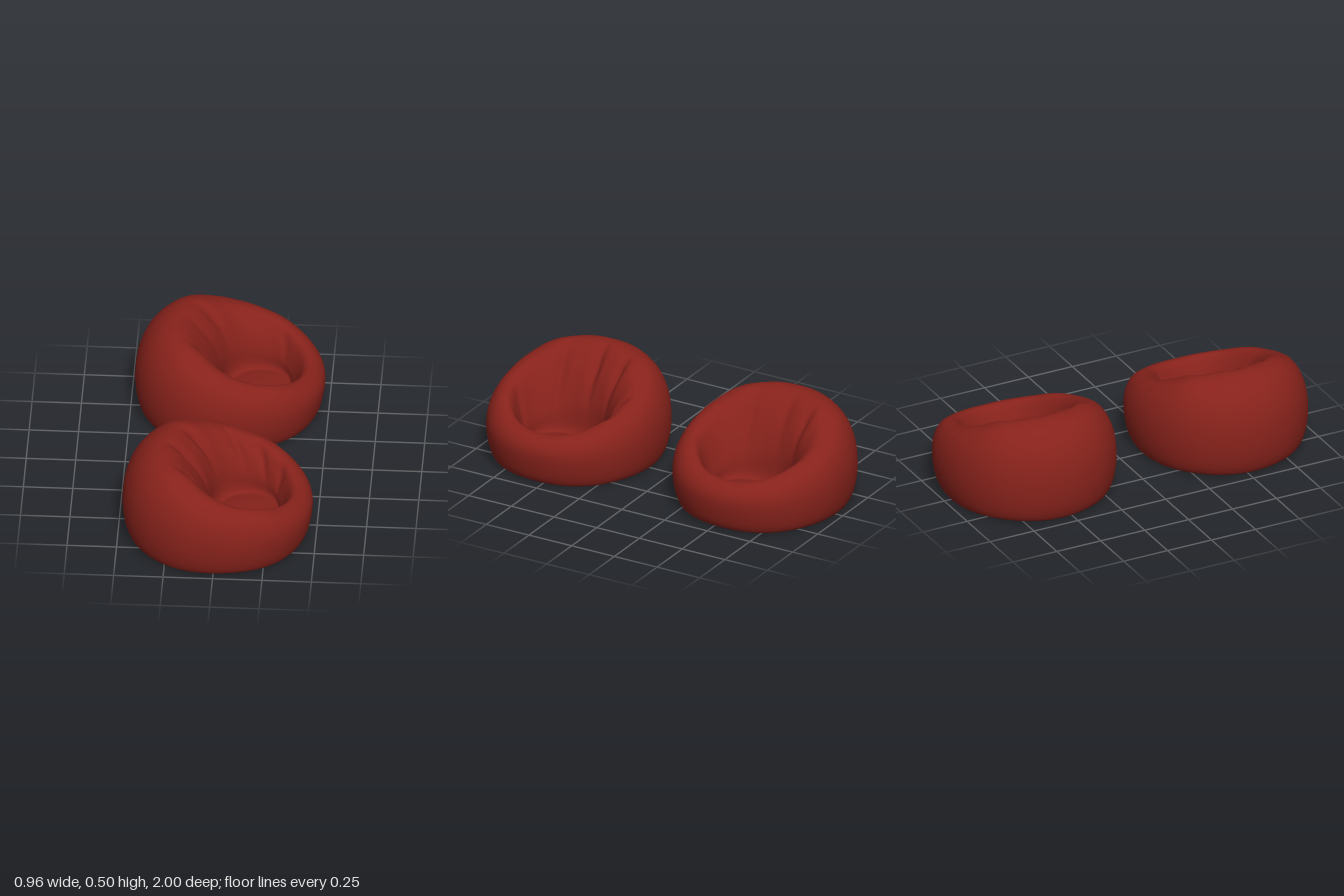
import * as THREE from 'three';

const AROUND = 144, STEPS = 80;
const { lerp } = THREE.MathUtils;
const bell = (d, w) => Math.exp(-(d * d) / (w * w));
const wrap = a => Math.atan2(Math.sin(a), Math.cos(a));
const square = v => Math.sign(v) * Math.abs(v) ** 0.85;

// Inner wall from rim to seat: share of the way across, drop where it is plump, drop where it is hollow
const INNER = [[0.25, 0.045, 0.1], [0.5, 0.17, 0.38], [0.72, 0.35, 0.7], [0.9, 0.64, 0.93], [1, 1, 1]];

// One cross-section, from the middle of the base, over the rim, to the middle of the seat.
function section(a, folds) {
  const c = Math.cos(a), s = Math.sin(a);
  const at = (r, y) => new THREE.Vector3(r * c, y, r * s);
  const R = (Math.abs(c / 0.48) ** 2.1 + Math.abs(s / 0.455) ** 2.1) ** (-1 / 2.1);
  const rimR = 0.335 + 0.06 * c;
  const rimY = 0.387 - 0.125 * c - 0.012 * c * c + 0.036 * Math.abs(c) * s * s
    + 0.003 * Math.sin(9 * a) * s;
  const waistY = 0.175 - 0.015 * c;
  const hem = 0.003 + 0.002 * Math.sin(5 * a + 1);

  // nearly flat base with a slightly uneven, rounded bottom edge
  const pts = [at(0, 0.014), at(R * 0.4, 0.014), at(R * 0.78, 0.011), at(R * 0.86, hem),
    at(R * 0.91, hem), at(R * 0.95, 0.03), at(R * 0.985, 0.09)];
  // outer wall curving over to the rim
  for (let i = 0; i <= 4; i++) {
    const u = i / 4 * Math.PI / 2;
    pts.push(at(rimR + (R - rimR) * Math.cos(u), waistY + (rimY - waistY) * Math.sin(u)));
  }
  // inner wall: plump at the back with a crease below it, running smoothly into the seat at the front
  const rim = at(rimR, rimY);
  const crease = new THREE.Vector3(0.14 + 0.165 * square(c), 0.088 + 0.012 * c, 0.195 * square(s));
  const hollow = 0.4 + 0.4 * Math.cos(a - 0.7);
  for (const [across, plumpDrop, hollowDrop] of INNER) {
    const p = rim.clone().lerp(crease, across);
    p.y = lerp(rim.y, crease.y, lerp(plumpDrop, hollowDrop, hollow));
    let depth = 0;
    for (const [angle, width, amount] of folds) depth += amount * bell(wrap(a - angle), width);
    depth *= Math.sin(Math.PI * across * 0.95) ** 2;
    p.add(at(depth * 0.4, -depth));
    pts.push(p);
  }
  // soft, shallow seat
  const seat = new THREE.Vector3(0.16, 0.1, 0);
  for (const [t, lift] of [[0.3, 0.3], [0.65, 0.8], [1, 1]]) {
    const p = crease.clone().lerp(seat, t);
    p.y = lerp(crease.y, seat.y, lift);
    pts.push(p);
  }
  return new THREE.CatmullRomCurve3(pts, false, 'centripetal').getPoints(STEPS);
}

function beanBagGeometry(folds) {
  const pos = [], index = [], n = STEPS + 1;
  for (let j = 0; j < AROUND; j++) {
    for (const p of section(j / AROUND * Math.PI * 2, folds)) {
      // two sewn seams across the underside
      if (p.y < 0.016 && Math.hypot(p.x, p.z) < 0.37) {
        p.y -= 0.008 * (bell(p.z - 0.1, 0.03) + bell(p.z + 0.1, 0.03));
      }
      pos.push(p.x, Math.max(0, p.y), p.z);
    }
  }
  for (let j = 0; j < AROUND; j++) {
    const k = (j + 1) % AROUND;
    for (let i = 0; i < STEPS; i++) {
      const a = j * n + i, b = k * n + i;
      index.push(a, a + 1, b, b, a + 1, b + 1);
    }
  }
  const g = new THREE.BufferGeometry();
  g.setAttribute('position', new THREE.Float32BufferAttribute(pos, 3));
  g.setIndex(index);
  g.computeVertexNormals();
  return g;
}

export function createModel() {
  const group = new THREE.Group();
  group.name = 'beanBagPair';
  const fabric = new THREE.MeshStandardMaterial({ color: 0x87221b, side: THREE.DoubleSide });

  // folds: angle, width, depth
  const deepFolds = [[3.2, 0.09, 0.03], [2.45, 0.12, 0.02], [3.85, 0.12, 0.025],
    [4.75, 0.1, 0.02], [5.25, 0.1, 0.02], [5.75, 0.1, 0.015], [1.3, 0.13, 0.01]];
  const softFolds = [[3.3, 0.12, 0.01], [2.5, 0.14, 0.012], [3.9, 0.14, 0.018], [5.5, 0.14, 0.012]];

  for (const [name, z, folds] of [['frontBeanBag', 0.545, deepFolds], ['backBeanBag', -0.545, softFolds]]) {
    const bag = new THREE.Mesh(beanBagGeometry(folds), fabric);
    bag.name = name;
    bag.position.z = z;
    group.add(bag);
  }
  return group;
}
